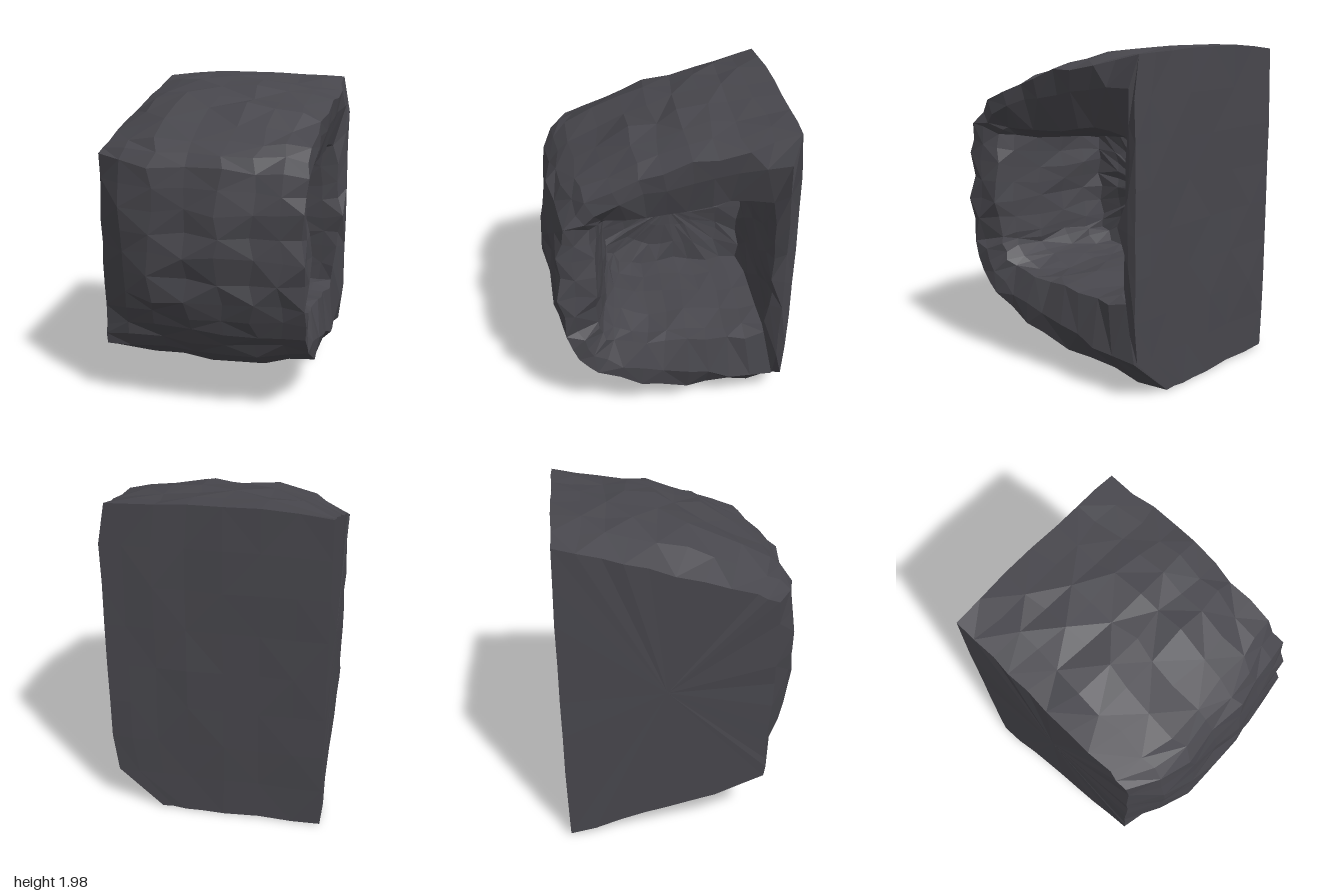
import * as THREE from 'three';

// Key points as [z, y], counter-clockwise seen from +x, starting at the top back corner
const BASE = [[-.1, .17], [-.4, .09], [-.71, .015], [-.72, .5], [-.72, 1], [-.72, 1.5]];
const OUTER = [[-.71, 1.99], [-.4, 1.97], [-.1, 1.93], [.2, 1.85], [.53, 1.68], [.67, 1.54],
  [.71, 1.3], [.72, 1.03], [.69, .75], [.62, .55], [.5, .37], [.2, .22], ...BASE];
const LEFT = [[-.71, 1.96], [-.45, 1.88], [-.2, 1.81], [.1, 1.72], [.4, 1.63], [.53, 1.57],
  [.54, 1.3], [.53, 1.03], [.51, .75], [.5, .5], [.5, .37], [.2, .24], ...BASE];
const RIGHT = [[-.71, 1.97], [-.4, 1.91], [-.1, 1.86], [.2, 1.77], [.48, 1.64], [.61, 1.51],
  [.65, 1.3], [.66, 1.03], [.63, .75], [.57, .56], [.45, .43], [.2, .3], ...BASE];
const MOUTH = [[-.6, 1.53], [-.35, 1.54], [-.1, 1.52], [.15, 1.5], [.38, 1.48], [.46, 1.45],
  [.45, 1.25], [.45, 1.03], [.44, .8], [.42, .7], [.34, .61], [.15, .57],
  [-.1, .58], [-.35, .55], [-.6, .56], [-.6, .8], [-.6, 1.03], [-.6, 1.27]];
const FLOOR = MOUTH.map(([z, y]) => [-.115 + (z + .07) * .91, 1.015 + (y - 1.04) * .86]);

function seeded(seed) {
  return () => {
    seed = (seed * 16807) % 2147483647;
    return seed / 2147483647 - 0.5;
  };
}

const mix = (a, b, t) => a.map((p, i) => p.map((v, k) => v + (b[i][k] - v) * t));
const shrink = (pts, s) => pts.map(([z, y]) => [-.1 + (z + .1) * s, 1.02 + (y - 1.02) * s]);
const subdivide = (pts) => pts.flatMap((p, i) => {
  const q = pts[(i + 1) % pts.length];
  return [p, [(p[0] + q[0]) / 2, (p[1] + q[1]) / 2]];
});

export function createModel() {
  const group = new THREE.Group();
  const rand = seeded(4217);

  // Each ring: [x, key points, roughness, how far its top and bottom sink inwards]
  const rings = [
    [-.65, shrink(LEFT, 0), 0, 0], // flat left side
    [-.65, LEFT, .015, 0],
    [-.47, mix(LEFT, OUTER, .65), .04, 0],
    [-.27, OUTER, .045, 0],
    [-.06, OUTER, .045, 0],
    [.15, OUTER, .045, 0],
    [.34, mix(OUTER, RIGHT, .2), .045, 0],
    [.5, mix(OUTER, RIGHT, .6), .04, 0],
    [.63, RIGHT, .035, 0],
    [.64, mix(RIGHT, MOUTH, .4), .035, .02], // lip around the hollow
    [.62, MOUTH, .03, .06],
    [.5, mix(MOUTH, FLOOR, .35), .03, .03], // hollow
    [.3, mix(MOUTH, FLOOR, .65), .03, 0],
    [.1, mix(MOUTH, FLOOR, .85), .03, 0],
    [-.08, FLOOR, .03, 0],
    [-.23, shrink(FLOOR, .97), .03, 0],
    [-.25, shrink(FLOOR, .65), .03, 0],
    [-.25, shrink(FLOOR, .3), .01, 0],
    [-.25, shrink(FLOOR, 0), 0, 0],
  ];

  const n = OUTER.length * 2;
  const positions = [];
  const index = [];
  rings.forEach(([x, keys, rough, sink], i) => {
    subdivide(keys).forEach(([z, y], j) => {
      // the flat back stays nearly smooth, the right side's top and bottom edges are worn
      const r = z < -.66 ? rough * .25 : rough;
      const edge = Math.max(0, x) / .62;
      const worn = edge * (2.2 * Math.max(0, .38 - y) ** 2 + .6 * Math.max(0, y - 1.9))
        + sink * Math.min(1, Math.abs(y - 1.03) / .45);
      positions.push(
        x - worn + rand() * r,
        THREE.MathUtils.clamp(y + rand() * r, 0, 2),
        Math.max(z + rand() * r, -.73));
      if (i === rings.length - 1) return;
      const a = i * n + j, b = i * n + (j + 1) % n, c = a + n, d = b + n;
      // alternate the diagonals for irregular facets
      if ((i + j) % 2) index.push(a, b, c, b, d, c);
      else index.push(a, b, d, a, d, c);
    });
  });

  const geometry = new THREE.BufferGeometry();
  geometry.setAttribute('position', new THREE.Float32BufferAttribute(positions, 3));
  geometry.setIndex(index);
  geometry.computeVertexNormals();

  const rock = new THREE.Mesh(geometry,
    new THREE.MeshStandardMaterial({ color: 0x47464c, flatShading: true }));
  rock.name = 'hollowRock';
  group.add(rock);
  return group;
}
